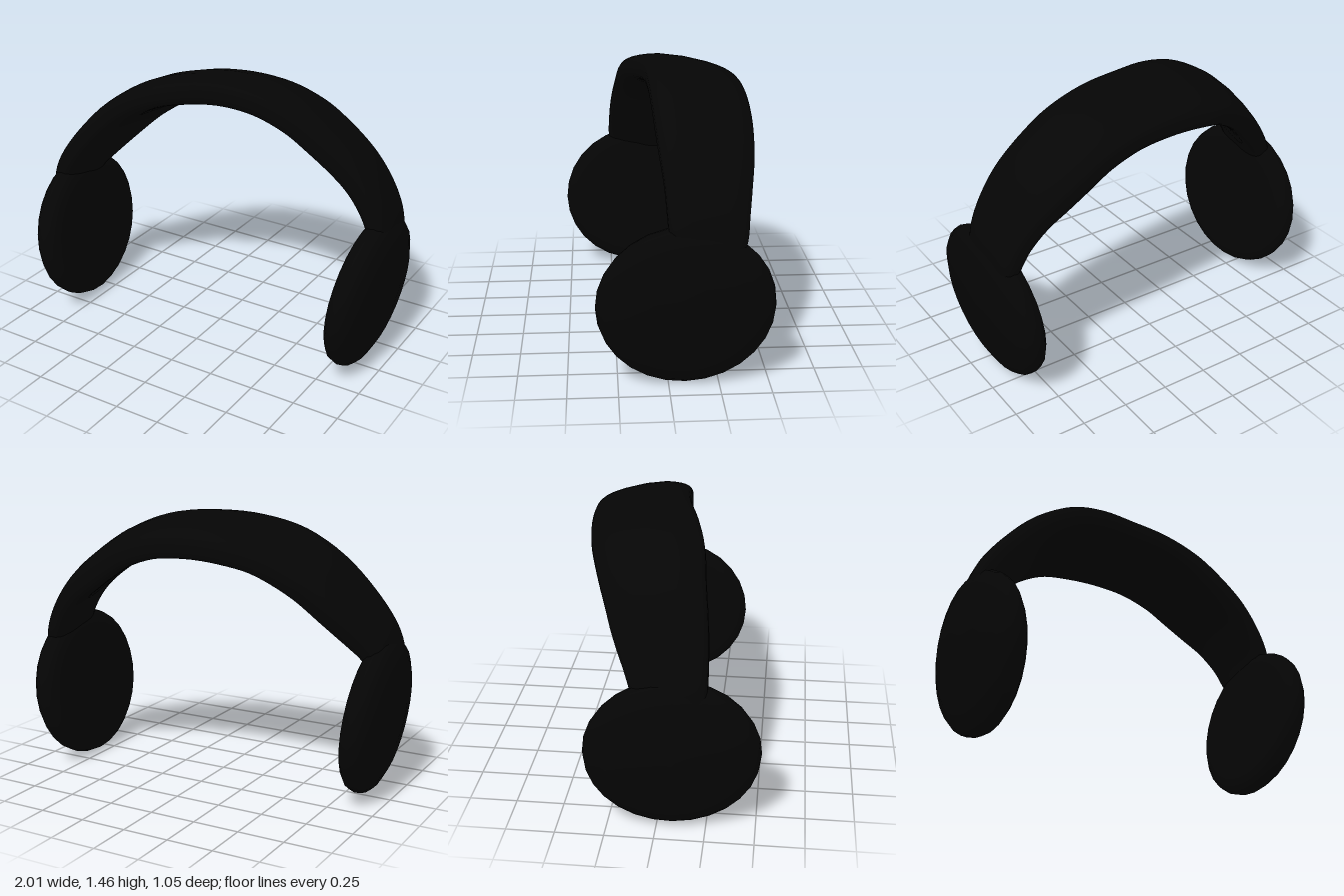
import * as THREE from 'three';

const black = new THREE.MeshStandardMaterial({ color: 0x050505 });
black.name = 'matte black';

// Headband stations along the outer arch: x, y, thickness, front z, back z, inward slope of the back edge
const STATIONS = [
  [-0.97, 0.6, 0.09, 0.22, -0.07, 0.0],
  [-0.98, 0.76, 0.125, 0.25, -0.11, 0.02],
  [-0.93, 0.91, 0.145, 0.255, -0.16, 0.05],
  [-0.805, 1.085, 0.155, 0.245, -0.24, 0.07],
  [-0.64, 1.255, 0.16, 0.22, -0.31, 0.08],
  [-0.43, 1.385, 0.16, 0.195, -0.375, 0.085],
  [-0.21, 1.45, 0.165, 0.145, -0.415, 0.09],
  [0.01, 1.468, 0.165, 0.09, -0.435, 0.09],
  [0.24, 1.448, 0.165, 0.07, -0.445, 0.09],
  [0.45, 1.382, 0.17, 0.06, -0.448, 0.09],
  [0.61, 1.29, 0.175, 0.05, -0.445, 0.09],
  [0.765, 1.17, 0.17, 0.035, -0.43, 0.085],
  [0.87, 1.045, 0.155, 0.02, -0.41, 0.07],
  [0.945, 0.9, 0.14, 0.01, -0.39, 0.05],
  [0.975, 0.76, 0.125, 0.0, -0.375, 0.03],
  [0.97, 0.6, 0.09, -0.01, -0.33, 0.0],
];

// Soft padded strap swept over the arch, rounder on its underside
function headbandGeometry(steps = 60, sides = 32) {
  const path = new THREE.CatmullRomCurve3(STATIONS.map((s) => new THREE.Vector3(s[0], s[1], s[2])));
  const edges = new THREE.CatmullRomCurve3(STATIONS.map((s) => new THREE.Vector3(s[3], s[4], s[5])));
  path.curveType = edges.curveType = 'catmullrom';
  const soft = (v, power) => Math.sign(v) * Math.abs(v) ** power;
  const positions = [];
  const indices = [];
  for (let i = 0; i <= steps; i++) {
    const p = path.getPoint(i / steps);
    const e = edges.getPoint(i / steps);
    const tangent = path.getTangent(i / steps);
    const normal = new THREE.Vector2(-tangent.y, tangent.x).normalize();
    for (let j = 0; j < sides; j++) {
      const a = (j / sides) * Math.PI * 2;
      const power = Math.sin(a) > 0 ? 0.5 : 0.75;
      const w = soft(Math.cos(a), power);
      const back = (1 - w) / 2;
      const slope = e.z * Math.max(0, (back - 0.3) / 0.7) ** 1.4;
      const out = (soft(Math.sin(a), power) - 1) * p.z / 2 - slope;
      positions.push(
        p.x + normal.x * out,
        p.y + normal.y * out,
        (e.x + e.y) / 2 + w * (e.x - e.y) / 2,
      );
      if (i < steps) {
        const k = i * sides + j;
        const n = i * sides + (j + 1) % sides;
        indices.push(k, k + sides, n, n, k + sides, n + sides);
      }
    }
  }
  const geometry = new THREE.BufferGeometry();
  geometry.setAttribute('position', new THREE.Float32BufferAttribute(positions, 3));
  geometry.setIndex(indices);
  geometry.computeVertexNormals();
  return geometry;
}

// Ear cup: shallow cushion dish inside, soft rim, domed shell outside
const CUP_PROFILE = [
  [0, -0.075], [0.28, -0.077], [0.35, -0.081], [0.4, -0.072], [0.43, -0.05],
  [0.442, -0.015], [0.435, 0.02], [0.405, 0.05], [0.33, 0.08], [0.18, 0.1], [0, 0.103],
].map(([r, y]) => new THREE.Vector2(r, y));

// Cups are slightly wider than tall and lean outward at the top
function earCup(name, x, y, z, yaw) {
  const side = Math.sign(x);
  const geometry = new THREE.LatheGeometry(CUP_PROFILE, 28);
  geometry.rotateZ(-side * Math.PI / 2);
  geometry.scale(1, 0.95, 1);
  const cup = new THREE.Mesh(geometry, black);
  cup.name = name;
  cup.position.set(x, y, z);
  cup.rotation.set(0, yaw, -side * 0.11);
  return cup;
}

export function createModel() {
  const group = new THREE.Group();
  group.name = 'headphones';
  const band = new THREE.Mesh(headbandGeometry(), black);
  band.name = 'headband';
  group.add(
    band,
    earCup('leftEarCup', 0.882, 0.418, -0.085, 0.02),
    earCup('rightEarCup', -0.886, 0.428, 0.08, 0.075),
  );
  return group;
}
